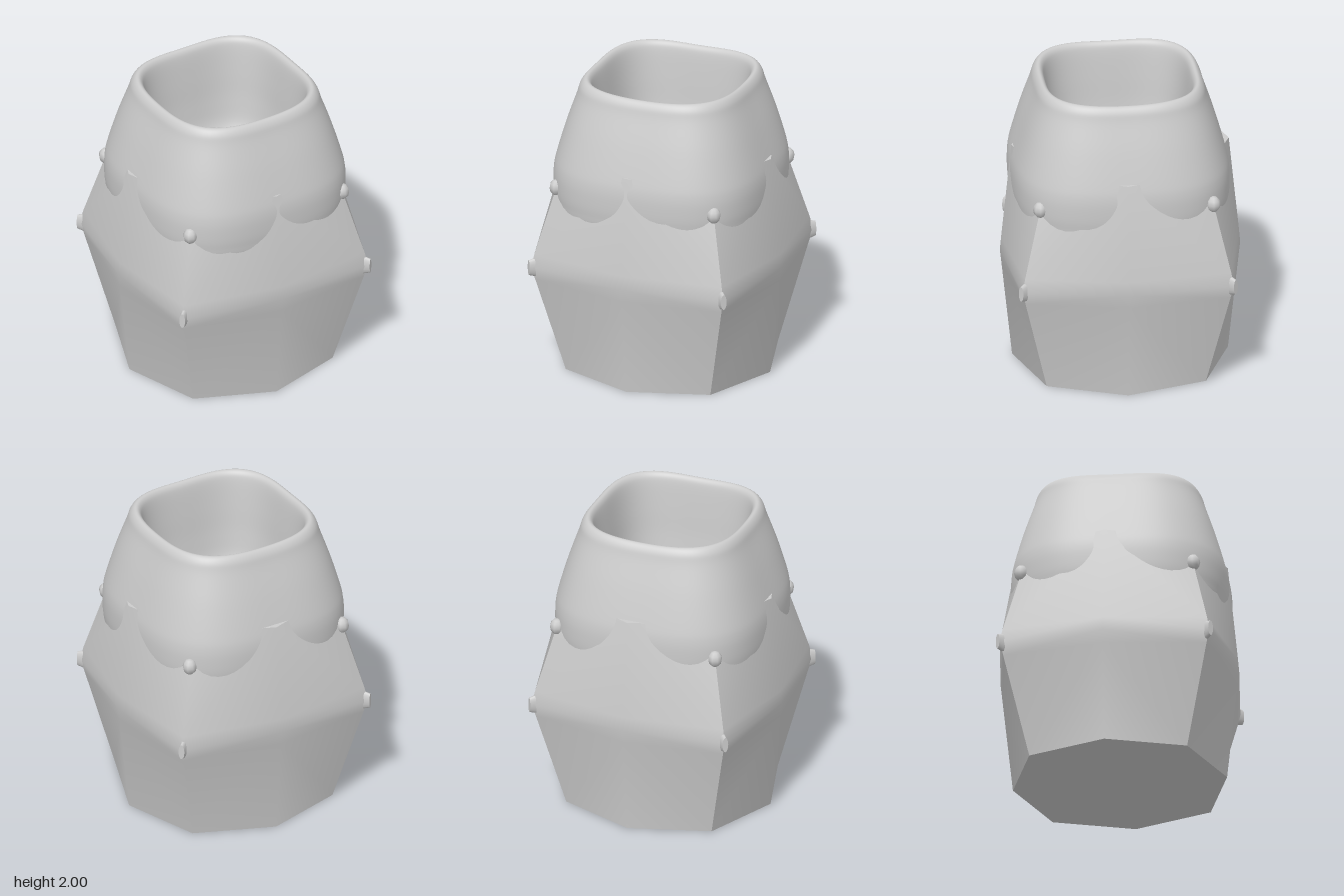
import * as THREE from 'three';
import { mergeVertices } from 'three/addons/utils/BufferGeometryUtils.js';

const material = new THREE.MeshStandardMaterial({ color: 0xcccccc });

function addMesh(parent, name, geometry) {
  const mesh = new THREE.Mesh(geometry, material);
  mesh.name = name;
  parent.add(mesh);
  return mesh;
}

// Grid of rows (bottom to top) and columns (left to right), facing the viewer
function gridGeometry(rows) {
  const cols = rows[0].length, index = [];
  for (let r = 0; r < rows.length - 1; r++) {
    for (let c = 0; c < cols - 1; c++) {
      const a = r * cols + c, b = a + 1, d = a + cols, e = d + 1;
      // Mirror the diagonals about the middle column
      if (c % 2) index.push(a, b, d, b, e, d);
      else index.push(a, b, e, a, e, d);
    }
  }
  const g = new THREE.BufferGeometry();
  g.setAttribute('position', new THREE.Float32BufferAttribute(rows.flat(2), 3));
  g.setIndex(index);
  g.computeVertexNormals();
  return g;
}

// Body section: height, distance of side middle, distance of corner
const BODY = [
  [0, 0.705, 0.52], [0.66, 0.775, 0.669], [0.75, 0.785, 0.69],
  [0.84, 0.777, 0.674], [1.5, 0.71, 0.515],
];

// Flat octagon outline of one body section
function octagon([, mid, corner]) {
  const pts = [];
  for (let i = 0; i < 8; i++) {
    const a = i * Math.PI / 4, d = i % 2 ? corner * Math.SQRT2 : mid;
    pts.push(new THREE.Vector2(Math.cos(a) * d, Math.sin(a) * d));
  }
  return new THREE.Shape(pts);
}

// Smooth rounded-square neck: a lathe squared off by a superellipse rule
function neckGeometry() {
  const profile = [
    [0.58, 1.0], [0.682, 1.1], [0.704, 1.2], [0.71, 1.3], [0.706, 1.4], [0.685, 1.5],
    [0.628, 1.7], [0.568, 1.88], [0.545, 1.955], [0.515, 1.99], [0.487, 1.978],
    [0.47, 1.92], [0.452, 1.75], [0.435, 1.55], [0.405, 1.38], [0.32, 1.28],
    [0.15, 1.23], [0, 1.22],
  ].map(([x, y]) => new THREE.Vector2(x, y));
  const points = new THREE.SplineCurve(profile).getPoints(85);
  points.forEach((p) => { p.x = Math.max(0, p.x); });
  let g = new THREE.LatheGeometry(points, 96);
  g.deleteAttribute('uv');
  g.deleteAttribute('normal');
  const pos = g.attributes.position;
  for (let i = 0; i < pos.count; i++) {
    const x = pos.getX(i), y = pos.getY(i), z = pos.getZ(i);
    const r = Math.hypot(x, z);
    if (r < 1e-5) continue;
    const t = THREE.MathUtils.clamp((y - 1.4) / 0.6, 0, 1);
    const n = 3 + 0.15 * t;
    const f = Math.pow(Math.abs(x / r) ** n + Math.abs(z / r) ** n, -1 / n);
    // The rim rises a little at the corners
    const lift = -0.005 * t * Math.cos(4 * Math.atan2(z, x));
    pos.setXYZ(i, x * f, y + lift, z * f);
  }
  g = mergeVertices(g, 1e-5);
  g.computeVertexNormals();
  return g;
}

export function createModel() {
  const group = new THREE.Group();
  group.name = 'vase';

  // Body: four gently folded sides with sharp corners
  const body = new THREE.Group();
  body.name = 'body';
  group.add(body);
  const side = gridGeometry(BODY.map(([y, mid, c]) => [[-c, y, c], [0, y, mid], [c, y, c]]));
  for (let i = 0; i < 4; i++) addMesh(body, 'bodySide', side).rotation.y = i * Math.PI / 2;
  addMesh(body, 'base', new THREE.ShapeGeometry(octagon(BODY[0])).rotateX(Math.PI / 2));

  // Shoulder ring, open in the middle for the hollow of the neck
  const ring = octagon(BODY[4]);
  ring.holes.push(new THREE.Path().absarc(0, 0, 0.56, 0, Math.PI * 2, true));
  const shoulder = addMesh(body, 'shoulder', new THREE.ShapeGeometry(ring, 24).rotateX(-Math.PI / 2));
  shoulder.position.y = BODY[4][0];

  // Neck, turned slightly so its lower edge dips into the body in uneven scallops
  const neck = addMesh(group, 'neck', neckGeometry());
  neck.rotation.y = 0.05;
  neck.position.z = 0.012;

  // Corner studs: a ball under the neck and a flattened tip at the belly
  const ball = new THREE.SphereGeometry(0.05, 8, 6).scale(0.95, 1.1, 0.95);
  const tip = new THREE.CylinderGeometry(0.052, 0.08, 0.09, 16)
    .scale(0.38, 1, 1).rotateX(Math.PI / 2);
  for (let i = 0; i < 4; i++) {
    const corner = new THREE.Group();
    corner.name = 'cornerStuds';
    corner.rotation.y = Math.PI / 4 + i * Math.PI / 2;
    group.add(corner);
    addMesh(corner, 'ballStud', ball).position.set(0, 1.29, 0.8);
    addMesh(corner, 'bellyTip', tip).position.set(0, 0.75, 0.947);
  }
  return group;
}
